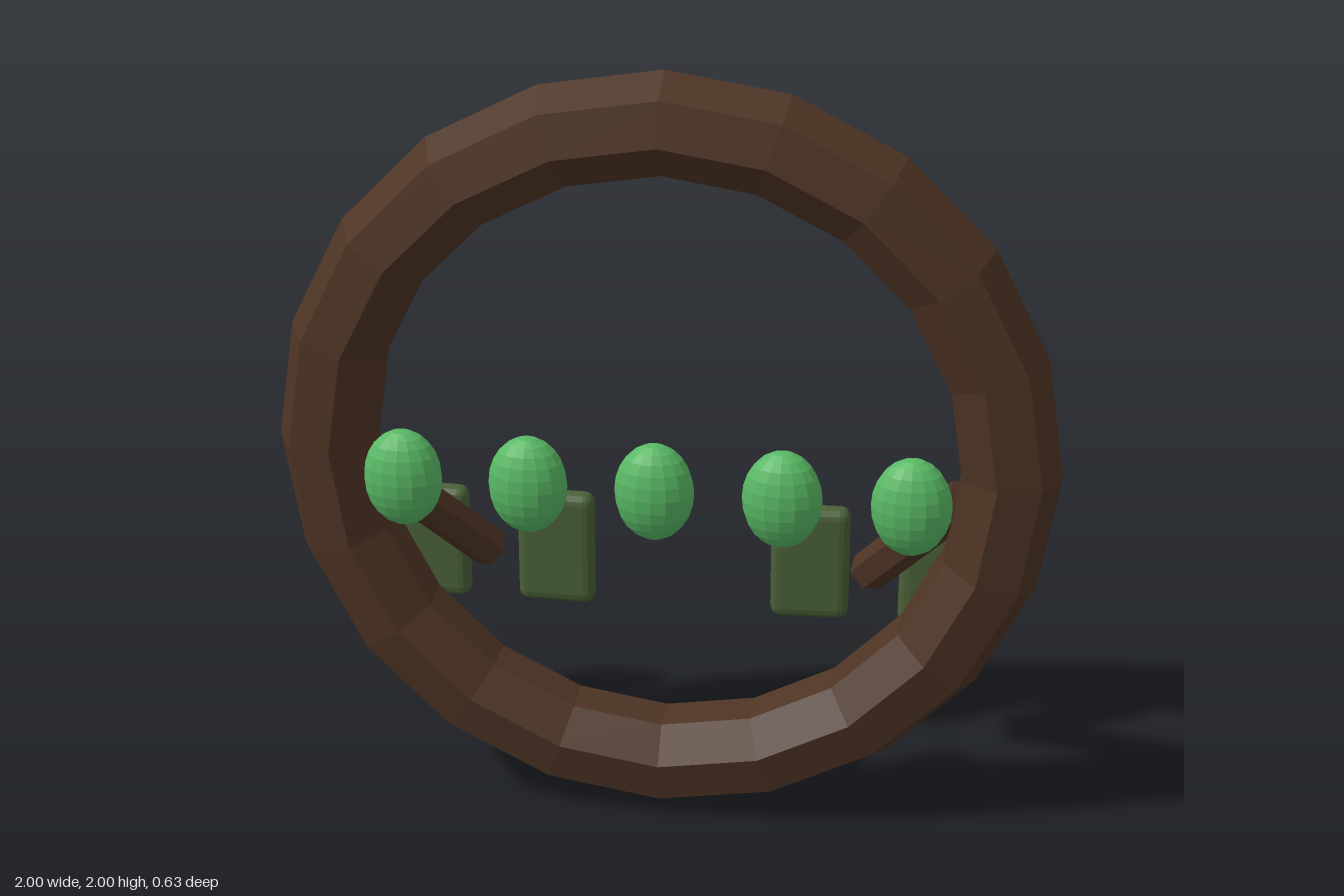
import * as THREE from 'three';
import { RoundedBoxGeometry } from 'three/addons/geometries/RoundedBoxGeometry.js';

const material = (name, color) => {
  const m = new THREE.MeshStandardMaterial({ color, flatShading: true });
  m.name = name;
  return m;
};

export function createModel() {
  const wood = material('darkWood', 0x4e3424);
  const gem = material('brightGreen', 0x58b864);
  const plate = material('mossGreen', 0x4a6038);
  const model = new THREE.Group();

  const add = (name, geometry, mat, x, y, z) => {
    const mesh = new THREE.Mesh(geometry, mat);
    mesh.name = name;
    mesh.position.set(x, y, z);
    model.add(mesh);
    return mesh;
  };

  // Large faceted wooden ring
  add('ring', new THREE.TorusGeometry(0.87, 0.13, 7, 20), wood, 0, 1, 0.07);

  // Row of five oval gems across the front
  const oval = new THREE.SphereGeometry(1, 16, 12).scale(0.1, 0.128, 0.07);
  for (let i = -2; i <= 2; i++) add('gem', oval, gem, i * 0.318, 0.975, 0.245);

  // Struts slanting inward, down and back from the ring
  const up = new THREE.Vector3(0, 1, 0);
  for (const side of [-1, 1]) {
    const low = new THREE.Vector3(side * 0.51, 0.585, -0.17);
    const high = new THREE.Vector3(side * 0.765, 0.93, 0.075);
    const axis = high.clone().sub(low);
    const mid = low.clone().add(high).multiplyScalar(0.5);
    const strut = add('strut', new THREE.CylinderGeometry(0.055, 0.055, axis.length(), 6), wood, mid.x, mid.y, mid.z);
    strut.quaternion.setFromUnitVectors(up, axis.normalize());
  }

  // Rounded plates behind the ring, turned slightly outward
  const slab = new RoundedBoxGeometry(0.212, 0.325, 0.066, 2, 0.028);
  for (const x of [-0.695, -0.348, 0.348, 0.695]) {
    add('plate', slab, plate, x, 0.553, -0.28).rotation.y = x * 0.08;
  }

  return model;
}
